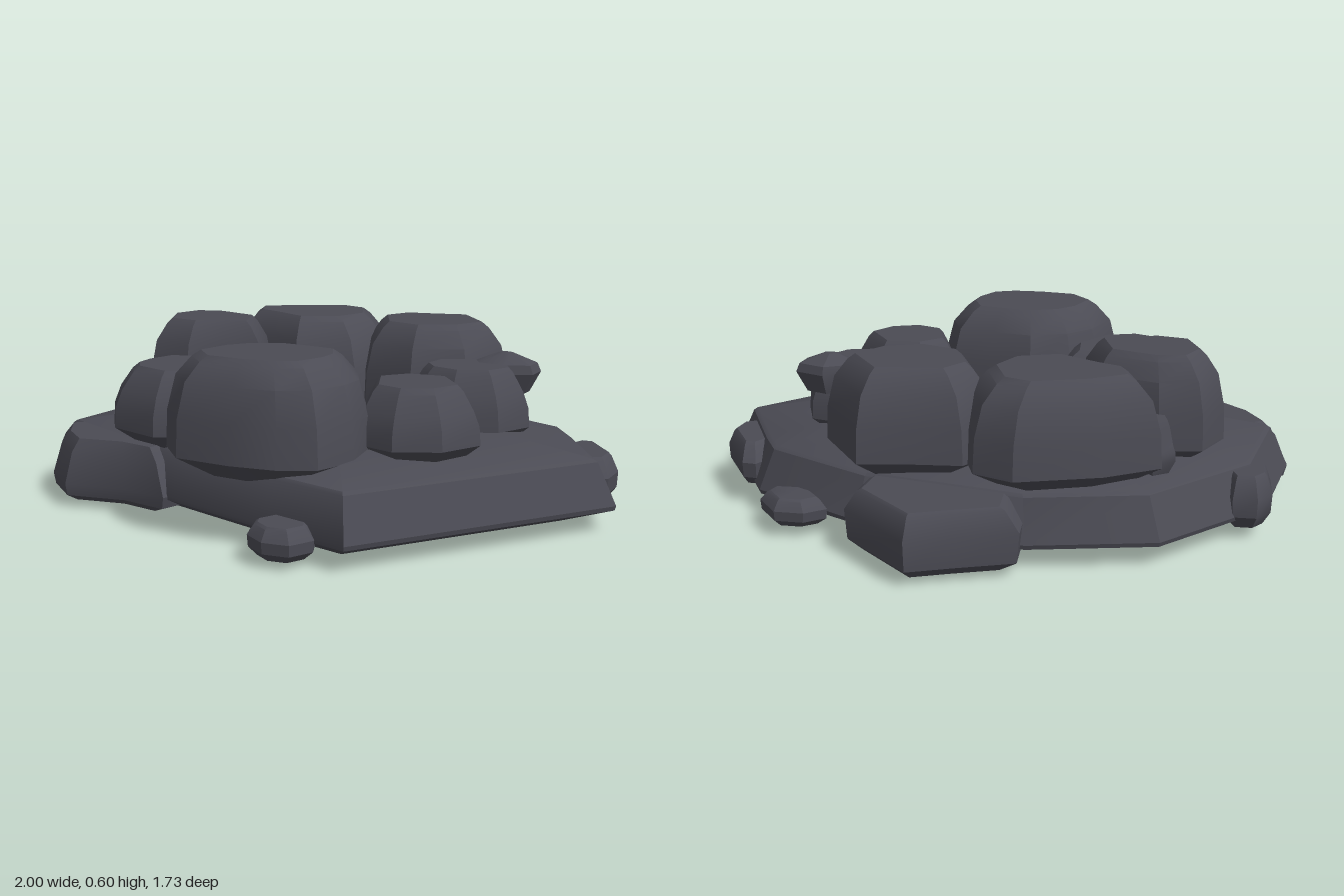
import * as THREE from 'three';
import { toCreasedNormals } from 'three/addons/utils/BufferGeometryUtils.js';

// Lofts a stone from an [x, z] outline; each level is [height, scale about the middle].
function stoneGeometry(outline, levels) {
  const n = outline.length;
  const area = outline.reduce((s, [x, z], i) => {
    const [u, v] = outline[(i + 1) % n];
    return s + x * v - u * z;
  }, 0);
  const ring = area > 0 ? outline : [...outline].reverse();
  const xs = ring.map((p) => p[0]), zs = ring.map((p) => p[1]);
  const cx = (Math.min(...xs) + Math.max(...xs)) / 2;
  const cz = (Math.min(...zs) + Math.max(...zs)) / 2;
  const pos = [], index = [];
  for (const [y, s] of levels) {
    for (const [x, z] of ring) pos.push(cx + (x - cx) * s, y, cz + (z - cz) * s);
  }
  const last = levels.length - 1;
  pos.push(cx, levels[0][0], cz, cx, levels[last][0], cz);
  const bottom = n * levels.length, top = bottom + 1;
  for (let i = 0; i < n; i++) {
    const j = (i + 1) % n;
    for (let k = 0; k < last; k++) {
      const a = k * n + i, b = k * n + j;
      index.push(a, a + n, b, b, a + n, b + n);
    }
    index.push(bottom, i, j, top, last * n + j, last * n + i);
  }
  const g = new THREE.BufferGeometry();
  g.setAttribute('position', new THREE.Float32BufferAttribute(pos, 3));
  g.setIndex(index);
  return toCreasedNormals(g, 0.5);
}

// Boulder profile: tucked foot, steep sides, bevelled flat top.
const boulder = (lo, hi) => [
  [lo, 0.6], [lo + 0.07, 1], [lo + (hi - lo) * 0.5, 0.98],
  [hi - 0.08, 0.89], [hi - 0.02, 0.73], [hi, 0.64],
];
// Low stone profile used around the edge.
const pebble = (lo, hi) => {
  const h = hi - lo;
  return [[lo, 0.7], [lo + h * 0.25, 0.97], [lo + h * 0.6, 1], [lo + h * 0.93, 0.78], [hi, 0.68]];
};

export function createModel() {
  const group = new THREE.Group();
  const stone = new THREE.MeshStandardMaterial({ color: 0x4b4b54 });
  stone.name = 'dark stone';
  const add = (name, outline, levels) => {
    const mesh = new THREE.Mesh(stoneGeometry(outline, levels), stone);
    mesh.name = name;
    group.add(mesh);
  };

  // Broad slab under everything
  add('baseSlab', [
    [-1, 0.34], [-0.97, -0.1], [-0.68, -0.5], [-0.28, -0.64], [0.3, -0.59], [0.72, -0.42],
    [0.8, -0.31], [1, 0], [0.42, 0.79], [0.1, 0.71], [-0.3, 0.59], [-0.66, 0.48],
  ], [[0, 0.66], [0.015, 0.82], [0.07, 0.995], [0.085, 1], [0.225, 0.935], [0.235, 0.92], [0.29, 0.62]]);

  // Ring of boulders
  add('frontBoulder', [
    [-0.32, 0.62], [-0.28, 0.44], [-0.2, 0.33], [-0.06, 0.26], [0.1, 0.27], [0.25, 0.29],
    [0.32, 0.42], [0.32, 0.53], [0.27, 0.67], [0.16, 0.73], [0, 0.75], [-0.2, 0.74],
  ], boulder(0.2, 0.59));
  add('frontRightBoulder', [
    [-0.68, 0.32], [-0.64, 0.18], [-0.52, 0.12], [-0.17, 0.13], [-0.14, 0.3],
    [-0.25, 0.51], [-0.4, 0.58], [-0.6, 0.52], [-0.67, 0.43],
  ], boulder(0.21, 0.49));
  add('frontLeftBoulder', [
    [0.19, 0.22], [0.29, 0.1], [0.48, 0.08], [0.63, 0.26], [0.56, 0.4], [0.42, 0.47], [0.28, 0.43],
  ], boulder(0.23, 0.49));
  add('rightBoulder', [
    [-0.81, -0.04], [-0.76, -0.19], [-0.62, -0.23], [-0.38, -0.17], [-0.29, 0.04],
    [-0.44, 0.09], [-0.55, 0.16], [-0.72, 0.14],
  ], boulder(0.22, 0.595));
  add('leftBoulder', [
    [0.23, -0.04], [0.25, -0.17], [0.4, -0.25], [0.6, -0.22], [0.66, -0.1],
    [0.6, 0.03], [0.45, 0.09], [0.3, 0.05],
  ], boulder(0.22, 0.49));
  add('backRightBoulder', [
    [-0.66, -0.39], [-0.5, -0.52], [-0.24, -0.64], [-0.1, -0.6], [0, -0.4],
    [-0.06, -0.22], [-0.26, -0.12], [-0.48, -0.22], [-0.6, -0.26],
  ], boulder(0.22, 0.59));
  add('backLeftBoulder', [
    [-0.12, -0.4], [-0.05, -0.54], [0.1, -0.57], [0.28, -0.62], [0.47, -0.4],
    [0.38, -0.23], [0.2, -0.13], [0, -0.18],
  ], boulder(0.22, 0.59));

  // Broken chips resting on and between the boulders
  add('leftChip', [
    [0.42, -0.18], [0.54, -0.26], [0.65, -0.23], [0.65, -0.15], [0.56, -0.11], [0.45, -0.13],
  ], [[0.39, 0.7], [0.46, 1], [0.49, 0.9], [0.525, 0.2]]);
  add('rightChip', [
    [-0.69, -0.31], [-0.63, -0.37], [-0.52, -0.32], [-0.54, -0.2], [-0.66, -0.22],
  ], boulder(0.22, 0.42));

  // Stones leaning against the slab's edge
  add('backEdgeStone', [
    [-0.28, -0.7], [-0.1, -0.79], [0.04, -0.865], [0.31, -0.66], [0.31, -0.5], [-0.25, -0.5],
  ], [[0.02, 0.78], [0.05, 0.97], [0.15, 1], [0.22, 0.84], [0.23, 0.78]]);
  add('frontRightEdgeStone', [
    [-1, 0.34], [-0.9, 0.49], [-0.76, 0.6], [-0.54, 0.56], [-0.36, 0.59],
    [-0.3, 0.4], [-0.7, 0.25], [-0.95, 0.29],
  ], [[0.02, 0.8], [0.04, 0.97], [0.08, 1], [0.19, 0.86], [0.235, 0.72]]);
  add('frontPebble', [
    [0.08, 0.76], [0.1, 0.81], [0.18, 0.86], [0.27, 0.85], [0.31, 0.77], [0.27, 0.68], [0.12, 0.68],
  ], pebble(0.02, 0.125));
  add('backLeftPebble', [
    [0.42, -0.54], [0.48, -0.6], [0.58, -0.61], [0.67, -0.52], [0.66, -0.46], [0.52, -0.44],
  ], pebble(0.035, 0.13));
  add('leftEdgeStone', [
    [0.76, -0.36], [0.81, -0.36], [0.95, -0.18], [0.95, -0.07], [0.88, -0.02], [0.72, -0.26],
  ], pebble(0.06, 0.215));
  add('rightEdgeStone', [
    [-0.99, -0.15], [-0.95, -0.22], [-0.87, -0.23], [-0.8, -0.1], [-0.87, 0], [-0.97, -0.01],
  ], pebble(0.04, 0.22));

  return group;
}
